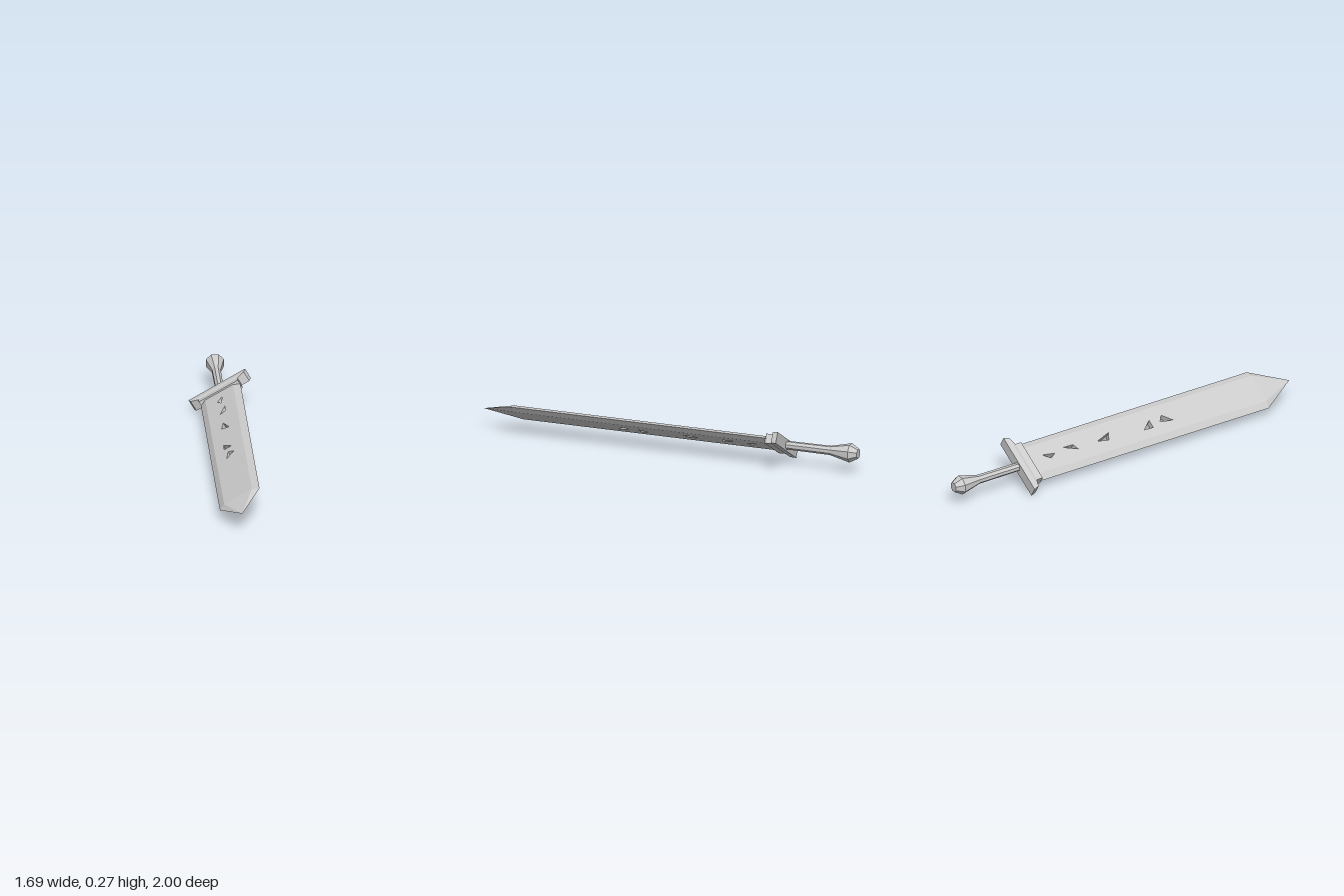
import * as THREE from 'three';

const material = new THREE.MeshStandardMaterial({ color: 0xcccccc, flatShading: true });

// Joins equal-sided cross-sections (counterclockwise [x, y] points at height z) and caps both ends.
function loft(sections) {
  const pos = [];
  const tri = (a, b, c) => {
    const [A, B, C] = [a, b, c].map((p) => new THREE.Vector3(...p));
    const area = B.clone().sub(A).cross(C.clone().sub(A)).length();
    if (area > 1e-9) pos.push(...a, ...b, ...c);
  };
  const rings = sections.map(({ z, points }) => points.map(([x, y]) => [x, y, z]));
  const n = rings[0].length;
  for (let k = 0; k + 1 < rings.length; k++) {
    for (let i = 0; i < n; i++) {
      const j = (i + 1) % n, a = rings[k], b = rings[k + 1];
      tri(a[i], a[j], b[j]);
      tri(a[i], b[j], b[i]);
    }
  }
  const first = rings[0], last = rings[rings.length - 1];
  for (let i = 1; i + 1 < n; i++) {
    tri(first[0], first[i + 1], first[i]);
    tri(last[0], last[i], last[i + 1]);
  }
  const geometry = new THREE.BufferGeometry();
  geometry.setAttribute('position', new THREE.Float32BufferAttribute(pos, 3));
  geometry.computeVertexNormals();
  return geometry;
}

const rect = (w, t) => [[-w, -t], [w, -t], [w, t], [-w, t]];
const octagon = (r) => Array.from({ length: 8 }, (_, i) => {
  const a = ((i + 0.5) * Math.PI) / 4 - Math.PI / 6;
  return [r * Math.cos(a), r * Math.sin(a)];
});

export function createModel() {
  const model = new THREE.Group();
  const sword = new THREE.Group();
  sword.name = 'sword';
  model.add(sword);
  const add = (name, geometry) => {
    const mesh = new THREE.Mesh(geometry, material);
    mesh.name = name;
    sword.add(mesh);
  };

  // Sword axes: x across the blade, y through its thickness, z towards the tip.
  const flat = 0.103, edge = 0.147, thick = 0.022;
  const root = -0.7, shoulder = 1.06, tip = 1.303;

  // Flat core of the blade with triangular cut-outs
  const core = new THREE.Shape(
    [[-flat, root], [flat, root], [flat, shoulder], [-flat, shoulder]].map((p) => new THREE.Vector2(...p)));
  const cutouts = [
    [[0.017, -0.60], [0.001, -0.51], [-0.024, -0.55]],
    [[0.022, -0.433], [0.02, -0.358], [-0.021, -0.34]],
    [[-0.01, -0.187], [0.025, -0.083], [-0.027, -0.108]],
    [[-0.035, 0.16], [0.019, 0.228], [-0.037, 0.228]],
    [[-0.013, 0.294], [0.029, 0.325], [-0.03, 0.386]],
  ];
  for (const c of cutouts) core.holes.push(new THREE.Path(c.map((p) => new THREE.Vector2(...p))));
  const coreGeometry = new THREE.ExtrudeGeometry(core, { depth: 2 * thick, bevelEnabled: false });
  coreGeometry.rotateX(Math.PI / 2).translate(0, thick, 0);
  add('bladeCore', coreGeometry);

  // Sharpened edges
  for (const s of [1, -1]) {
    const points = [[s * flat, -s * thick], [s * edge, 0], [s * flat, s * thick]];
    add(s > 0 ? 'leftEdge' : 'rightEdge', loft([{ z: root, points }, { z: shoulder, points }]));
  }

  // Faceted point
  const section = [[edge, 0], [flat, thick], [-flat, thick], [-edge, 0], [-flat, -thick], [flat, -thick]];
  add('bladeTip', loft([
    { z: shoulder, points: section },
    { z: tip, points: section.map(() => [0, 0]) },
  ]));

  // Crossguard narrowing into the collar around the blade
  add('crossguard', loft([
    { z: -0.79, points: rect(0.21, 0.037) },
    { z: -0.752, points: rect(0.197, 0.037) },
    { z: -0.733, points: rect(0.145, 0.03) },
    { z: -0.69, points: rect(0.145, 0.032) },
  ]));

  // Grip flaring into the pommel
  const grip = [[-1.283, 0.033], [-1.23, 0.063], [-1.09, 0.03], [-0.78, 0.028]];
  add('gripAndPommel', loft(grip.map(([z, r]) => ({ z, points: octagon(r) }))));

  // Lay the sword down diagonally, rolled about its length
  sword.rotation.set(0, THREE.MathUtils.degToRad(40), THREE.MathUtils.degToRad(30), 'YXZ');
  sword.position.set(0.005, 0.137, -0.002);
  return model;
}
